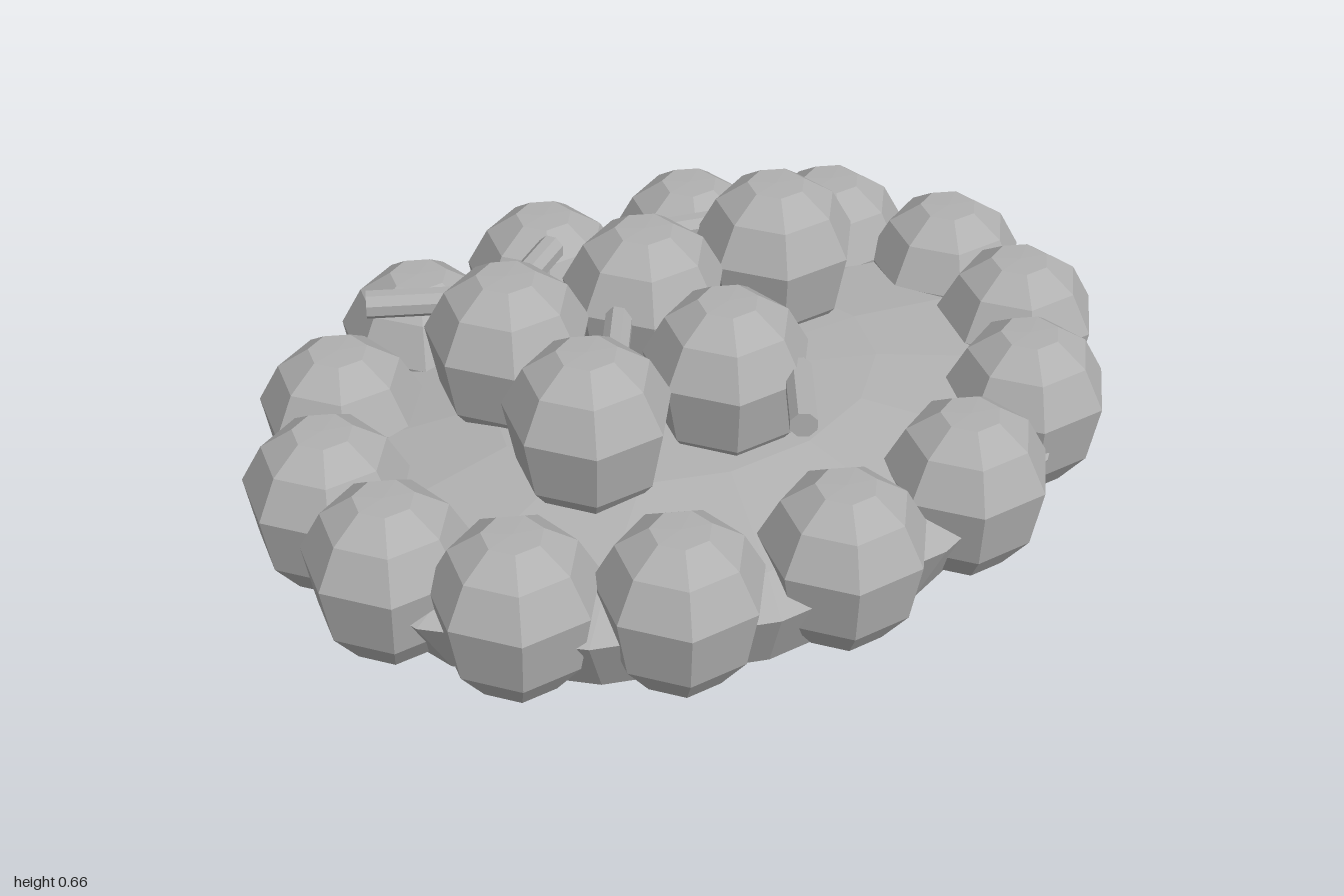
import * as THREE from 'three';

const stone = new THREE.MeshStandardMaterial({ color: 0xb0b0b0 });
stone.name = 'grey';

// Faceted normals
function flat(geometry) {
  const g = geometry.toNonIndexed();
  g.computeVertexNormals();
  return g;
}

// Faceted solid of revolution; profile runs from bottom to top
function faceted(profile, sides, start) {
  const points = profile.map(([r, y]) => new THREE.Vector2(r, y));
  return new THREE.LatheGeometry(points, sides, start);
}

export function createModel() {
  const model = new THREE.Group();
  model.name = 'studdedPlate';

  function add(name, geometry, x, y, z, turn = 0) {
    const mesh = new THREE.Mesh(geometry, stone);
    mesh.name = name;
    mesh.position.set(x, y, z);
    mesh.rotation.y = turn;
    model.add(mesh);
  }

  // Oval base with a sharp rim and a shallow domed top
  const base = faceted([
    [0, 0], [0.31, 0], [0.83, 0.085], [0.93, 0.25],
    [0.8, 0.3], [0.45, 0.36], [0, 0.38],
  ], 14, Math.PI / 14);
  base.scale(1, 1, 0.75);
  add('base', flat(base), 0, 0, 0);

  // Seven-sided knob, pointing to the back
  const knob = flat(faceted([
    [0, 0.1], [0.095, 0.1], [0.155, 0.18], [0.182, 0.32],
    [0.135, 0.41], [0.065, 0.46], [0, 0.462],
  ], 7, Math.PI));

  // Outer ring of knobs
  for (let i = 0; i < 14; i++) {
    const a = (i / 14) * Math.PI * 2;
    add('outerKnob', knob, 0.83 * Math.sin(a), 0, 0.603 * Math.cos(a));
  }

  // Raised knobs, with one place left empty
  for (const z of [-0.165, 0.165]) {
    for (const x of [-0.345, 0, 0.345]) {
      if (x > 0 && z > 0) continue;
      add('innerKnob', knob, x, 0.2, z);
    }
  }

  // Loose bars lying among the raised knobs
  const bar = new THREE.CylinderGeometry(0.031, 0.031, 0.2, 8, 1, false, Math.PI / 8);
  bar.rotateZ(Math.PI / 2);
  const barGeometry = flat(bar);
  const bars = [
    [-0.465, -0.37, -0.48], [-0.185, -0.34, 0.58], [0.175, -0.305, -0.28],
    [-0.14, -0.05, 0.95], [0.045, 0.37, 1.03],
  ];
  for (const [x, z, turn] of bars) add('bar', barGeometry, x, 0.522, z, turn);

  return model;
}
